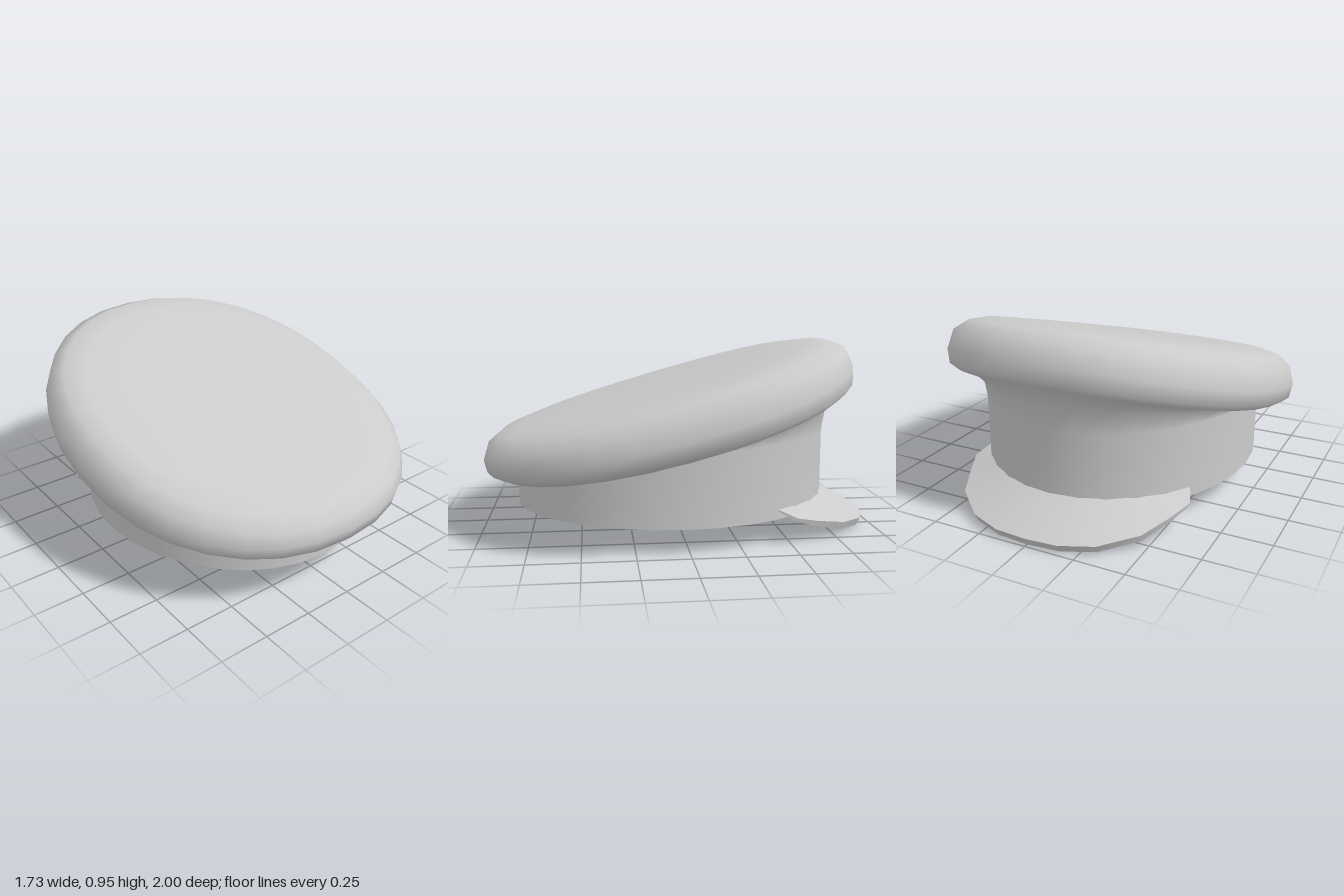
import * as THREE from 'three';

const SEG = 32;

// Oval ring: half width, z/y at the +z end, z/y at the -z end, dip at the sides,
// and roundness (1 is an ellipse, less is fuller)
function ring([rx, zF, yF, zB, yB, dip = 0, power = 1]) {
  const full = (v) => Math.sign(v) * Math.abs(v) ** power;
  return Array.from({ length: SEG }, (_, j) => {
    const t = (j / SEG) * Math.PI * 2, c = full(Math.cos(t)), s = full(Math.sin(t));
    return [rx * s, (yF + yB) / 2 + c * (yF - yB) / 2 - dip * s * s, (zF + zB) / 2 + c * (zF - zB) / 2];
  });
}

// Surface through rows of points with smooth normals
function loft(rows, closed) {
  const n = rows[0].length, index = [];
  for (let i = 0; i < rows.length - 1; i++) {
    for (let j = 0; j < (closed ? n : n - 1); j++) {
      const k = (j + 1) % n;
      const a = i * n + j, b = i * n + k, c = a + n, d = b + n;
      index.push(a, c, b, b, c, d);
    }
  }
  const geo = new THREE.BufferGeometry();
  geo.setAttribute('position', new THREE.Float32BufferAttribute(rows.flat(2), 3));
  geo.setIndex(index);
  geo.computeVertexNormals();
  return geo;
}

export function createModel() {
  const model = new THREE.Group();
  const material = new THREE.MeshStandardMaterial({ color: 0xcccccc, side: THREE.DoubleSide });
  const add = (name, rows, closed, parent = model) => {
    const mesh = new THREE.Mesh(loft(rows, closed), material);
    mesh.name = name;
    parent.add(mesh);
  };

  // Tilted puffy crown running smoothly down into the upright band
  const bottom = [0.695, 0.83, 0.12, -0.78, 0.12];
  add('crownAndBand', [
    [0, 0.085, 0.73, 0.085, 0.73],
    [0.5, 0.6, 0.582, -0.43, 0.878, 0.005, 0.92],
    [0.7, 0.82, 0.518, -0.65, 0.94, 0.015, 0.92],
    [0.785, 0.92, 0.478, -0.79, 0.955, 0.025, 0.92],
    [0.845, 0.98, 0.425, -0.875, 0.93, 0.04, 0.92],
    [0.867, 1.0, 0.36, -0.92, 0.84, 0.05, 0.92],
    [0.855, 0.985, 0.3, -0.92, 0.765, 0.05, 0.92],
    [0.8, 0.93, 0.272, -0.9, 0.735, 0.05, 0.93],
    [0.725, 0.85, 0.283, -0.84, 0.685, 0.02, 0.97],
    [0.697, 0.832, 0.288, -0.8, 0.6, -0.02],
    [0.695, 0.83, 0.286, -0.78, 0.48, -0.07],
    bottom,
  ].map(ring), true);

  // Bottom rim, inner wall and lining
  const inner = [0.64, 0.77, 0.12, -0.72, 0.12];
  const ceiling = [0.64, 0.77, 0.43, -0.72, 0.56];
  add('bandRim', [bottom, inner].map(ring), true);
  add('bandInside', [inner, ceiling].map(ring), true);
  add('lining', [ceiling, [0, 0.025, 0.495, 0.025, 0.495]].map(ring), true);

  // Peak: half of the lower outer edge, mirrored to a full sweep from +x to -x
  const half = [
    [0.16, 0.002, -0.97], [0.32, 0.008, -0.91], [0.475, 0.033, -0.775],
    [0.55, 0.075, -0.63], [0.6, 0.115, -0.52], [0.565, 0.165, -0.43],
  ];
  const outerLow = [...[...half].reverse(), [0, 0, -0.98], ...half.map(([x, y, z]) => [-x, y, z])];
  const last = outerLow.length - 1;
  const outerTop = outerLow.map(([x, y, z], i) => {
    const k = Math.min(1, Math.min(i, last - i) / 3);
    return [x * (1 + 0.01 * k), Math.min(0.17, y + 0.005 + 0.033 * k), z - 0.018 * k];
  });
  // Root of the peak, sunk slightly into the band wall; its underside rises at the tips
  const root = (yMid, yTip) => outerLow.map((_, i) => {
    const u = 1 - (2 * i) / last, t = u * 0.97;
    return [0.685 * Math.sin(t), yMid + (yTip - yMid) * u ** 4, 0.025 - 0.795 * Math.cos(t)];
  });
  const peak = new THREE.Group();
  peak.name = 'peak';
  model.add(peak);
  add('peakTop', [root(0.17, 0.17), outerTop], false, peak);
  add('peakEdge', [outerTop, outerLow], false, peak);
  add('peakUnderside', [outerLow, root(0.125, 0.165)], false, peak);

  return model;
}
